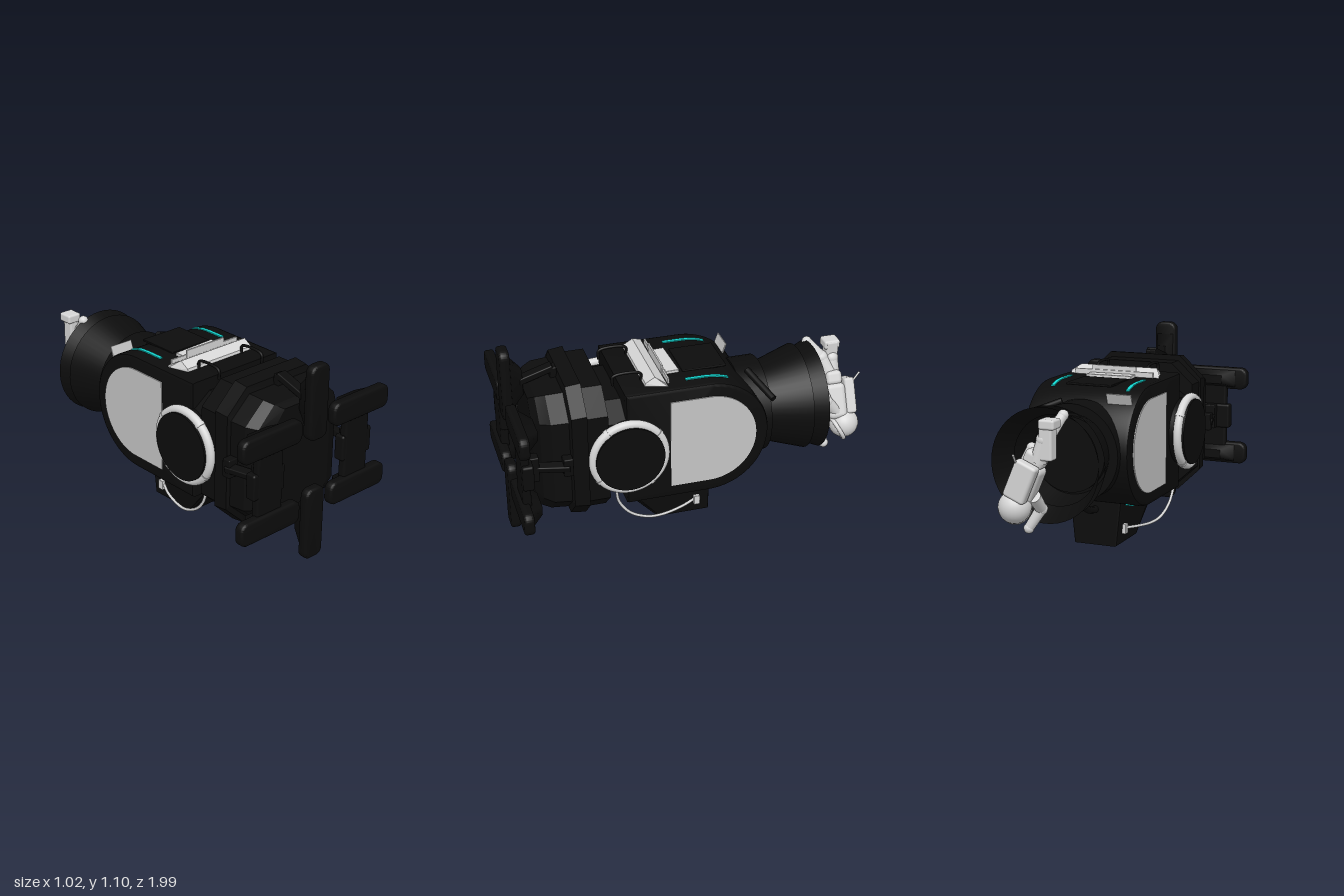
import * as THREE from 'three';
import { toCreasedNormals } from 'three/addons/utils/BufferGeometryUtils.js';
import { RoundedBoxGeometry } from 'three/addons/geometries/RoundedBoxGeometry.js';

const CY = 0.565; // height of the ship's long axis

export function createModel() {
  const root = new THREE.Group();
  const mat = (name, color, side = THREE.FrontSide) => {
    const m = new THREE.MeshStandardMaterial({ color, side });
    m.name = name;
    return m;
  };
  const black = mat('black hull', 0x0c0c0c, THREE.DoubleSide);
  const light = mat('light grey', 0xd6d6d6);
  const panelGrey = mat('panel grey', 0xc6c6c6);
  const cyan = mat('cyan light', 0x12d6d0);

  const V = (x, y, z) => new THREE.Vector3(x, y, z);
  const add = (name, geo, material, x = 0, y = 0, z = 0, parent = root) => {
    const m = new THREE.Mesh(geo, material);
    m.name = name;
    m.position.set(x, y, z);
    parent.add(m);
    return m;
  };
  const box = (name, w, h, d, material, x, y, z, r = 0.008, parent = root) =>
    add(name, new RoundedBoxGeometry(w, h, d, 2, Math.min(r, w / 2.1, h / 2.1, d / 2.1)), material, x, y, z, parent);
  // round bar between two points, with two radii
  const limb = (name, a, b, r1, r2, material, sides = 14, parent = root) => {
    const dir = b.clone().sub(a);
    const m = add(name, new THREE.CylinderGeometry(r2, r1, dir.length(), sides), material, 0, 0, 0, parent);
    m.position.copy(a).add(b).multiplyScalar(0.5);
    m.quaternion.setFromUnitVectors(V(0, 1, 0), dir.normalize());
    return m;
  };
  const tube = (name, pts, r, material) =>
    add(name, new THREE.TubeGeometry(new THREE.CatmullRomCurve3(pts), 40, r, 8), material);
  // side profile (shape x = -z) extruded across x
  const across = (shape, width, bevel = 0) => {
    const g = new THREE.ExtrudeGeometry(shape, {
      depth: width - 2 * bevel, curveSegments: 24, bevelEnabled: bevel > 0,
      bevelSize: bevel, bevelThickness: bevel, bevelOffset: -bevel, bevelSegments: 2,
    });
    g.translate(0, 0, -width / 2 + bevel).rotateY(Math.PI / 2);
    return toCreasedNormals(g, 0.5);
  };
  const profile = (pts) => new THREE.Shape(pts.map(([z, y]) => new THREE.Vector2(-z, y)));
  // profile with a straight front and a half-round back
  const dShape = (front, centre, r) => {
    const s = new THREE.Shape();
    s.moveTo(-front, CY - r);
    s.lineTo(-centre, CY - r);
    s.absarc(-centre, CY, r, -Math.PI / 2, Math.PI / 2, false);
    s.lineTo(-front, CY + r);
    s.closePath();
    return s;
  };

  // main cabin with rounded rear
  add('cabin', across(dShape(0.41, -0.04, 0.325), 0.6, 0.02), black);
  const collar = add('rearCollar', new THREE.CylinderGeometry(0.262, 0.262, 0.15, 40), black, 0, CY, -0.325);
  collar.rotation.x = Math.PI / 2;
  box('roofHatch', 0.26, 0.012, 0.24, black, 0, 0.89, -0.06, 0.004);

  // chamfered front module, lofted from octagons [z, half width, half height]
  const sections = [
    [0.38, 0.3, 0.255], [0.51, 0.3, 0.255], [0.51, 0.33, 0.36], [0.62, 0.33, 0.36], [0.62, 0.34, 0.39],
    [0.7, 0.335, 0.38], [0.71, 0.32, 0.345], [0.8, 0.31, 0.34], [0.85, 0.27, 0.325], [0.88, 0.2, 0.3],
  ];
  const verts = [], index = [];
  for (const [z, w, h] of sections) {
    const a = w * 0.62, b = h * 0.68;
    for (const [x, y] of [[w, -b], [w, b], [a, h], [-a, h], [-w, b], [-w, -b], [-a, -h], [a, -h]])
      verts.push(x, CY + y, z);
  }
  for (let s = 0; s < sections.length - 1; s++)
    for (let i = 0; i < 8; i++) {
      const p = s * 8 + i, q = s * 8 + (i + 1) % 8;
      index.push(p, q, p + 8, q, q + 8, p + 8);
    }
  const last = (sections.length - 1) * 8;
  for (let i = 1; i < 7; i++) index.push(0, i + 1, i, last, last + i, last + i + 1);
  const loft = new THREE.BufferGeometry();
  loft.setAttribute('position', new THREE.Float32BufferAttribute(verts, 3));
  loft.setIndex(index);
  add('frontModule', toCreasedNormals(loft, 0.3), black);

  // belly box, narrowing downwards
  const belly = across(profile([[0.41, 0.26], [0.37, 0.19], [0.2, 0], [-0.09, 0], [-0.09, 0.26]]), 0.3, 0.012);
  const bp = belly.attributes.position;
  for (let i = 0; i < bp.count; i++) bp.setX(i, bp.getX(i) * (0.83 + Math.min(bp.getY(i), 0.18)));
  belly.computeVertexNormals();
  add('bellyBox', belly, black);
  tube('bellyPipe', [V(0, 0.2, -0.06), V(0, 0.2, -0.12), V(0, 0.235, -0.22), V(0, 0.32, -0.31), V(0, 0.38, -0.38)], 0.02, black);

  // nested rear nozzles
  for (const [r1, z1, r2, z2] of [[0.21, -0.39, 0.29, -0.63], [0.235, -0.58, 0.295, -0.715]]) {
    const n = add('nozzle', new THREE.CylinderGeometry(r1, r2, z1 - z2, 48, 1, true), black, 0, CY, (z1 + z2) / 2);
    n.rotation.x = Math.PI / 2;
  }
  const bulkhead = add('nozzleBulkhead', new THREE.CylinderGeometry(0.2, 0.2, 0.03, 40), black, 0, CY, -0.41);
  bulkhead.rotation.x = Math.PI / 2;
  limb('rearRod', V(0.09, 0.82, -0.31), V(0.29, 0.74, -0.39), 0.018, 0.018, black);

  // parts repeated on both sides
  const strip = across(profile([[0.07, 0.87], [0.07, 0.896], [-0.04, 0.896], [-0.1, 0.891], [-0.16, 0.874], [-0.16, 0.85]]), 0.02);
  for (const s of [1, -1]) {
    add('sidePanel', across(dShape(0.175, -0.04, 0.253), 0.008), panelGrey, s * 0.302, 0, 0);
    add('topLightStrip', strip, cyan, s * 0.215, 0, 0);
    add('bottomLightStrip', strip, cyan, s * 0.215, 2 * CY, 0).scale.y = -1;

    // round side hatch with ring and clamps
    const hub = add('sideHatch', new THREE.CylinderGeometry(0.182, 0.182, 0.12, 48), black, s * 0.325, CY, 0.41);
    hub.rotation.z = Math.PI / 2;
    const ring = new THREE.Group();
    ring.name = 'hatchRing';
    ring.position.set(s * 0.352, CY, 0.41);
    ring.rotation.y = Math.PI / 2;
    root.add(ring);
    add('ringTube', new THREE.TorusGeometry(0.19, 0.024, 14, 56), light, 0, 0, 0, ring);
    for (let i = 0; i < 4; i++) {
      const a = Math.PI * (0.2 + i * 0.5);
      const c = add('ringClamp', new THREE.CylinderGeometry(0.027, 0.027, 0.02, 14), light, 0.19 * Math.cos(a), 0.19 * Math.sin(a), 0, ring);
      c.rotation.z = a;
    }

    // hose from hatch to belly
    tube('hose', [V(s * 0.27, 0.37, 0.46), V(s * 0.25, 0.24, 0.45), V(s * 0.245, 0.15, 0.39), V(s * 0.235, 0.095, 0.29),
      V(s * 0.215, 0.078, 0.2), V(s * 0.18, 0.083, 0.08), V(s * 0.14, 0.088, 0)], 0.008, light);
    box('hosePlug', 0.03, 0.055, 0.035, light, s * 0.14, 0.087, -0.015, 0.004);

    // roof handles
    tube('roofHandle', [V(s * 0.15, 0.88, 0.44), V(s * 0.15, 0.925, 0.44), V(s * 0.15, 0.937, 0.42), V(s * 0.15, 0.937, 0.31),
      V(s * 0.15, 0.925, 0.29), V(s * 0.15, 0.88, 0.29)], 0.008, black);
  }

  // roof equipment
  const slab = across(profile([[0.29, 0.885], [0.285, 0.905], [0.235, 0.935], [0.18, 0.905], [0.17, 0.885]]), 0.52);
  const sp = slab.attributes.position;
  for (let i = 0; i < sp.count; i++) if (sp.getY(i) > 0.92 || sp.getZ(i) > 0.27) sp.setX(i, sp.getX(i) * 0.86);
  slab.computeVertexNormals();
  add('roofSlab', slab, light);
  box('roofFin', 0.46, 0.03, 0.01, light, 0, 0.905, 0.165, 0.002);
  box('roofFinTop', 0.26, 0.06, 0.01, light, 0, 0.915, 0.17, 0.002);
  box('roofUnit', 0.26, 0.025, 0.07, light, 0, 0.893, 0.118, 0.004).rotation.y = 0.04;
  box('roofPlate', 0.14, 0.08, 0.008, panelGrey, -0.21, 0.83, -0.255, 0.002).rotation.x = -0.35;

  // landing feet: rounded pad with a tapered hump behind it
  const pad = (name, x, y, alongX) => {
    const g = new THREE.Group();
    g.name = name;
    g.position.set(x, y, 0);
    if (alongX) g.rotation.z = Math.PI / 2;
    root.add(g);
    const hw = 0.063, hl = 0.2, r = 0.042, s = new THREE.Shape();
    s.absarc(hw - r, hl - r, r, 0, Math.PI / 2);
    s.absarc(r - hw, hl - r, r, Math.PI / 2, Math.PI);
    s.absarc(r - hw, r - hl, r, Math.PI, Math.PI * 1.5);
    s.absarc(hw - r, r - hl, r, Math.PI * 1.5, Math.PI * 2);
    const geo = new THREE.ExtrudeGeometry(s, { depth: 0.026, bevelSize: 0.014, bevelThickness: 0.014, bevelOffset: -0.014, bevelSegments: 3 });
    add('padSole', toCreasedNormals(geo, 0.6), black, 0, 0, 0.957, g);
    const hump = new THREE.CylinderGeometry(0.35, 0.75, 0.075, 4).rotateY(Math.PI / 4).rotateX(-Math.PI / 2);
    add('padHump', hump.scale(0.1, 0.27, 1), black, 0, 0, 0.918, g);
  };
  const strut = (a, b, w) => {
    const m = box('footStrut', w, a.distanceTo(b), 0.035, black, 0, 0, 0, 0.006);
    m.position.copy(a).add(b).multiplyScalar(0.5);
    m.quaternion.setFromUnitVectors(V(0, 1, 0), b.clone().sub(a).normalize());
  };
  for (const s of [1, -1]) {
    pad('verticalFoot', 0, CY + s * 0.335, false);
    strut(V(0, CY + s * 0.335, 0.91), V(0, CY + s * 0.395, 0.72), 0.06);
    strut(V(0, CY + s * 0.3, 0.72), V(0, CY + s * 0.4, 0.72), 0.06);
    for (const t of [1, -1]) pad('sideFootPad', s * 0.31, CY + t * 0.222, true);
    box('sideFootBar', 0.17, 0.4, 0.045, black, s * 0.305, CY, 0.955, 0.015);
    box('sideFootBlock', 0.21, 0.14, 0.06, black, s * 0.31, CY, 0.945, 0.012);
    box('sideFootMount', 0.06, 0.14, 0.06, black, s * 0.31, CY, 0.905, 0.006);
    strut(V(s * 0.31, CY, 0.9), V(s * 0.355, CY, 0.72), 0.05);
    box('sideStrutBase', 0.07, 0.1, 0.05, black, s * 0.335, CY, 0.73, 0.006);
  }

  // suited figure drifting head-down behind the nozzles
  const figure = new THREE.Group();
  figure.name = 'suitedFigure';
  root.add(figure);
  const bone = (name, a, b, r1, r2) => {
    limb(name, a, b, r1, r2, light, 14, figure);
    add(name + 'Joint', new THREE.SphereGeometry(r2 * 1.08, 14, 10), light, b.x, b.y, b.z, figure);
  };
  const lean = new THREE.Group();
  lean.name = 'torso';
  lean.position.set(0.02, 0.53, -0.87);
  lean.rotation.z = 0.4;
  figure.add(lean);
  box('chest', 0.13, 0.2, 0.11, light, 0, -0.02, 0.02, 0.03, lean);
  box('backpack', 0.12, 0.2, 0.06, light, 0, 0, -0.06, 0.015, lean);
  box('chestUnit', 0.08, 0.07, 0.03, light, 0, -0.01, 0.085, 0.008, lean);
  box('hips', 0.11, 0.08, 0.09, light, 0, 0.11, 0.02, 0.025, lean);
  add('helmet', new THREE.SphereGeometry(0.083, 24, 18), light, 0.075, 0.39, -0.892, figure);
  const visor = add('visorRim', new THREE.TorusGeometry(0.07, 0.012, 10, 28), light, 0.085, 0.37, -0.85, figure);
  visor.rotation.x = 0.5;
  bone('upperLeg', V(-0.04, 0.62, -0.86), V(-0.07, 0.73, -0.86), 0.042, 0.036);
  box('straightShin', 0.07, 0.2, 0.07, light, -0.09, 0.73, -0.86, 0.012, figure);
  box('boot', 0.085, 0.05, 0.09, light, -0.1, 0.81, -0.86, 0.012, figure);
  bone('bentThigh', V(-0.02, 0.62, -0.85), V(-0.07, 0.74, -0.8), 0.042, 0.035);
  bone('bentShin', V(-0.07, 0.74, -0.8), V(-0.11, 0.83, -0.725), 0.034, 0.026);
  bone('upperArm', V(0.08, 0.46, -0.85), V(0.09, 0.55, -0.78), 0.034, 0.03);
  bone('forearm', V(0.09, 0.55, -0.78), V(0.05, 0.66, -0.75), 0.03, 0.025);
  bone('lowUpperArm', V(-0.01, 0.44, -0.85), V(-0.01, 0.36, -0.77), 0.034, 0.03);
  bone('lowForearm', V(-0.01, 0.36, -0.77), V(0.05, 0.26, -0.79), 0.03, 0.025);
  limb('antenna', V(0.04, 0.6, -0.93), V(0.03, 0.67, -0.99), 0.006, 0.006, light, 8, figure);

  return root;
}
